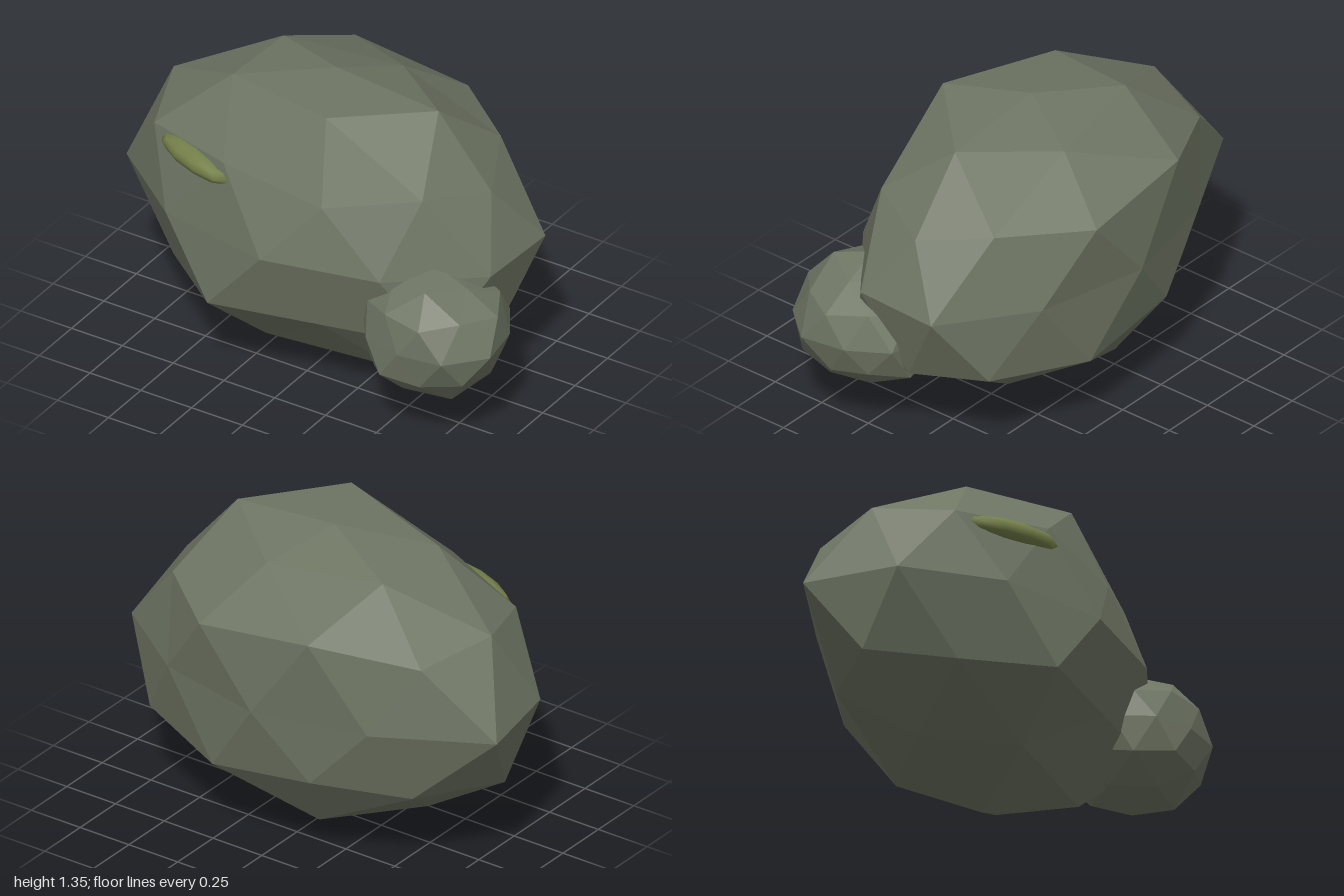
import * as THREE from 'three';

// Latitude rings of a 42-point ball, top to bottom
const RING_Y = [1, 0.851, 0.526, 0.447, 0, -0.447, -0.526, -0.851, -1];

// Faceted boulder: each point of the ball is pushed in or out along its radius.
// swell holds one list per ring, ordered by angle from +x towards +z.
function boulderGeometry(size, swell) {
  const geo = new THREE.IcosahedronGeometry(1, 1);
  geo.rotateX(-Math.atan((1 + Math.sqrt(5)) / 2)); // stand it on a corner
  geo.rotateY(Math.PI / 2);
  const pos = geo.attributes.position;
  const v = new THREE.Vector3();
  for (let i = 0; i < pos.count; i++) {
    v.fromBufferAttribute(pos, i).normalize();
    const ring = RING_Y.findIndex((y) => Math.abs(y - v.y) < 0.03);
    const list = swell[ring];
    const angle = (THREE.MathUtils.radToDeg(Math.atan2(v.z, v.x)) + 361) % 360;
    const k = Math.floor((angle / 360) * list.length) % list.length;
    v.multiplyScalar(list[k]).multiply(size);
    pos.setXYZ(i, v.x, v.y, v.z);
  }
  geo.computeVertexNormals();
  return geo;
}

export function createModel() {
  const stone = new THREE.MeshStandardMaterial({ color: 0x6e7563 });
  stone.name = 'stone';
  stone.flatShading = true;
  const mossGreen = new THREE.MeshStandardMaterial({ color: 0x74804a });
  mossGreen.name = 'mossGreen';

  const group = new THREE.Group();
  group.name = 'mossyRocks';
  const add = (name, geo, mat, x, y, z) => {
    const mesh = new THREE.Mesh(geo, mat);
    mesh.name = name;
    mesh.position.set(x, y, z);
    group.add(mesh);
    return mesh;
  };

  // Large boulder
  add('largeBoulder', boulderGeometry(new THREE.Vector3(1, 0.72, 0.68), [
    [0.87],
    [0.95, 1.005, 0.92, 0.9, 0.86],
    [0.89, 0.915, 0.945, 1.03, 0.89],
    [0.85, 0.83, 0.945, 0.95, 1.0],
    [0.925, 0.875, 0.88, 0.9, 0.955, 1.04, 0.87, 0.875, 0.87, 0.945],
    [0.985, 0.99, 0.975, 0.9, 0.965],
    [0.945, 0.84, 0.89, 0.9, 0.95],
    [0.975, 0.92, 0.91, 0.95, 0.89],
    [1.01],
  ]), stone, -0.012, 0.727, 0);

  // Small stone leaning on its front left
  add('smallStone', boulderGeometry(new THREE.Vector3(0.34, 0.3, 0.33), [
    [0.99],
    [0.88, 1.0, 0.93, 0.93, 0.93],
    [0.95, 0.95, 0.93, 0.93, 0.95],
    [1.02, 0.97, 0.93, 0.93, 0.93],
    [1.05, 1.0, 0.89, 0.92, 0.92, 0.92, 0.92, 0.9, 1.0, 0.95],
    [1.0, 1.0, 0.93, 0.95, 0.95],
    [0.95, 0.95, 0.95, 0.95, 1.05],
    [1.04, 0.98, 0.98, 0.95, 0.95],
    [1.0],
  ]), stone, 0.66, 0.485, 0.3);

  // Moss pad set into the front face
  const moss = add('mossPatch', new THREE.SphereGeometry(1, 10, 6), mossGreen, -0.43, 1.0, 0.44);
  moss.scale.set(0.23, 0.05, 0.065);
  moss.rotation.y = -0.38;

  return group;
}
